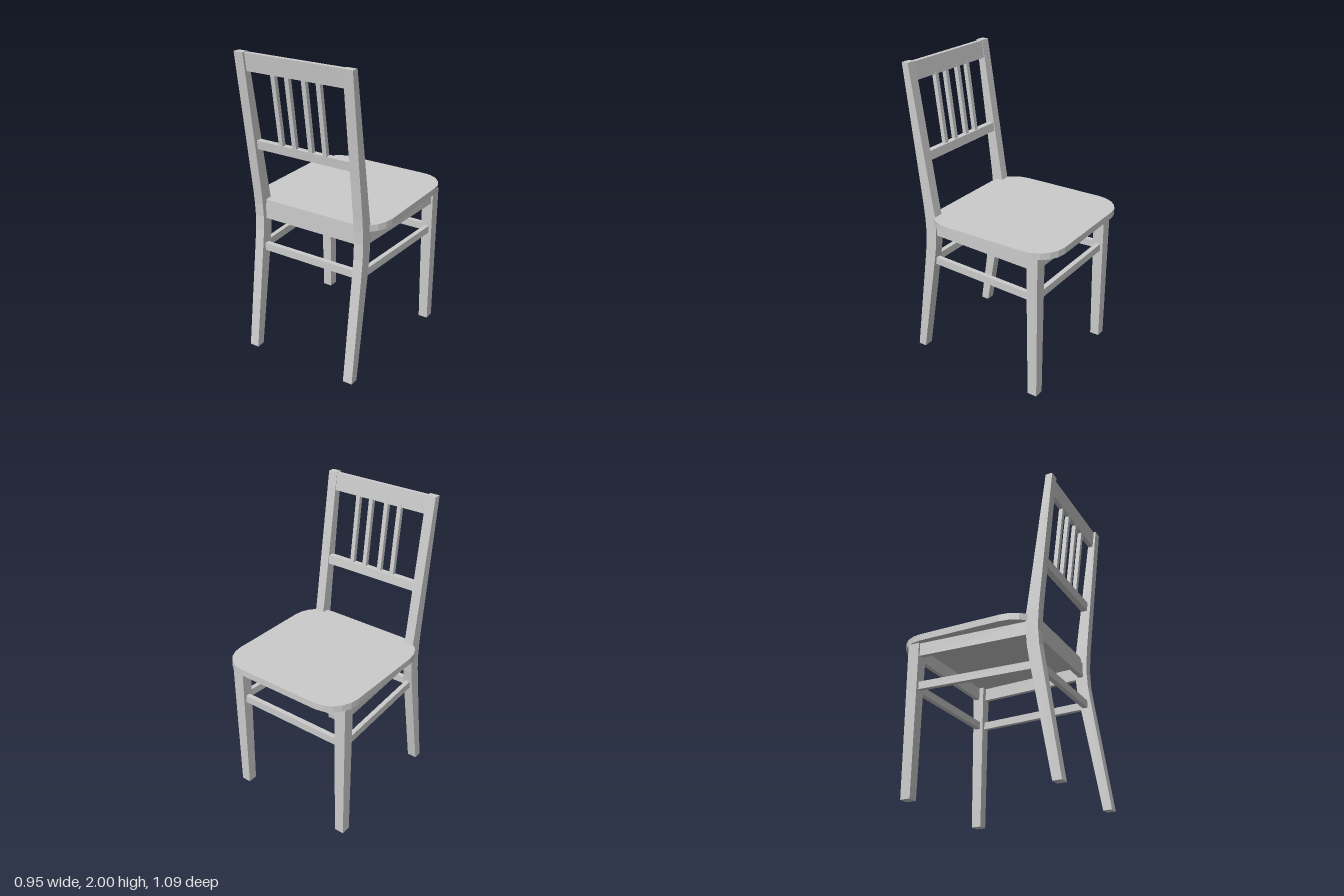
import * as THREE from 'three';

const material = new THREE.MeshStandardMaterial({ color: 0xcccccc, flatShading: true });

function addMesh(parent, name, geometry) {
  const mesh = new THREE.Mesh(geometry, material);
  mesh.name = name;
  parent.add(mesh);
  return mesh;
}

// Box given by its ranges; bend(v) may move each corner to lean or taper it.
function addBar(parent, name, [x0, x1], [y0, y1], [z0, z1], bend) {
  const geometry = new THREE.BoxGeometry(x1 - x0, y1 - y0, z1 - z0);
  geometry.translate((x0 + x1) / 2, (y0 + y1) / 2, (z0 + z1) / 2);
  if (bend) {
    const pos = geometry.attributes.position;
    const v = new THREE.Vector3();
    for (let i = 0; i < pos.count; i++) {
      bend(v.fromBufferAttribute(pos, i));
      pos.setXYZ(i, v.x, v.y, v.z);
    }
    geometry.computeVertexNormals();
  }
  return addMesh(parent, name, geometry);
}

// Seat outline: rectangle with faceted elliptical corners
function seatGeometry() {
  const steps = 5, rx = 0.18, rz = 0.193;
  const corners = [[0.295, 0.353], [-0.295, 0.353], [-0.295, -0.203], [0.295, -0.203]];
  const points = [];
  corners.forEach(([cx, cy], c) => {
    for (let i = 0; i <= steps; i++) {
      const a = (c + i / steps) * Math.PI / 2;
      points.push(new THREE.Vector2(cx + rx * Math.cos(a), cy + rz * Math.sin(a)));
    }
  });
  const geometry = new THREE.ExtrudeGeometry(new THREE.Shape(points), { depth: 0.044, bevelEnabled: false });
  return geometry.rotateX(-Math.PI / 2).translate(0, 0.986, 0);
}

// Rear leg and back post in one bent piece, drawn as (z, y) and extruded along x
function rearPostGeometry() {
  const profile = [
    [0.544, 0], [0.441, 0.72], [0.428, 0.82], [0.423, 0.92], [0.426, 1.0], [0.435, 1.1], [0.544, 2],
    [0.498, 2], [0.36, 1.12], [0.345, 1.03], [0.342, 0.93], [0.349, 0.82], [0.364, 0.72], [0.487, 0],
  ].map(([z, y]) => new THREE.Vector2(-z, y));
  const geometry = new THREE.ExtrudeGeometry(new THREE.Shape(profile), { depth: 0.065, bevelEnabled: false });
  return geometry.rotateY(Math.PI / 2);
}

export function createModel() {
  const chair = new THREE.Group();
  chair.name = 'chair';

  addMesh(chair, 'seat', seatGeometry());

  const postGeometry = rearPostGeometry();
  for (const side of [1, -1]) {
    const label = side > 0 ? 'left' : 'right';
    const span = (a, b) => side > 0 ? [a, b] : [-b, -a];

    // Rear post
    addMesh(chair, label + 'RearPost', postGeometry).position.x = side > 0 ? 0.34 : -0.405;

    // Front leg, narrowing towards the floor
    addBar(chair, label + 'FrontLeg', span(0.372, 0.452), [0, 0.986], [-0.455, -0.377], (v) => {
      if (v.y > 0.5) return;
      v.x = side * (Math.abs(v.x) > 0.41 ? 0.445 : 0.38);
      if (v.z > -0.41) v.z = -0.39;
    });

    // Side rails, spreading from the rear posts to the front legs
    const spread = (v) => { if (v.z < 0) v.x += side * 0.045; };
    addBar(chair, label + 'Apron', span(0.365, 0.395), [0.9, 0.986], [-0.4, 0.38], spread);
    addBar(chair, label + 'Stretcher', span(0.355, 0.386), [0.68, 0.73], [-0.41, 0.39], spread);
  }

  // Cross rails below the seat
  addBar(chair, 'rearApron', [-0.35, 0.35], [0.9, 1.0], [0.366, 0.396]);
  addBar(chair, 'frontApron', [-0.39, 0.39], [0.9, 0.986], [-0.44, -0.41]);
  addBar(chair, 'rearStretcher', [-0.35, 0.35], [0.68, 0.73], [0.385, 0.418]);
  addBar(chair, 'frontStretcher', [-0.39, 0.39], [0.68, 0.73], [-0.435, -0.402]);

  // Backrest, leaning with the posts
  const lean = (y0) => (v) => { v.z += (v.y - y0) * 0.13; };
  addBar(chair, 'topRail', [-0.345, 0.345], [1.885, 1.997], [0.485, 0.515], lean(1.885));
  addBar(chair, 'lowerRail', [-0.345, 0.345], [1.385, 1.443], [0.408, 0.448], lean(1.385));
  for (const x of [-0.158, -0.06, 0.057, 0.157]) {
    addBar(chair, 'backSpindle', [x - 0.0145, x + 0.0145], [1.43, 1.9], [0.424, 0.452], lean(1.43));
  }

  return chair;
}
